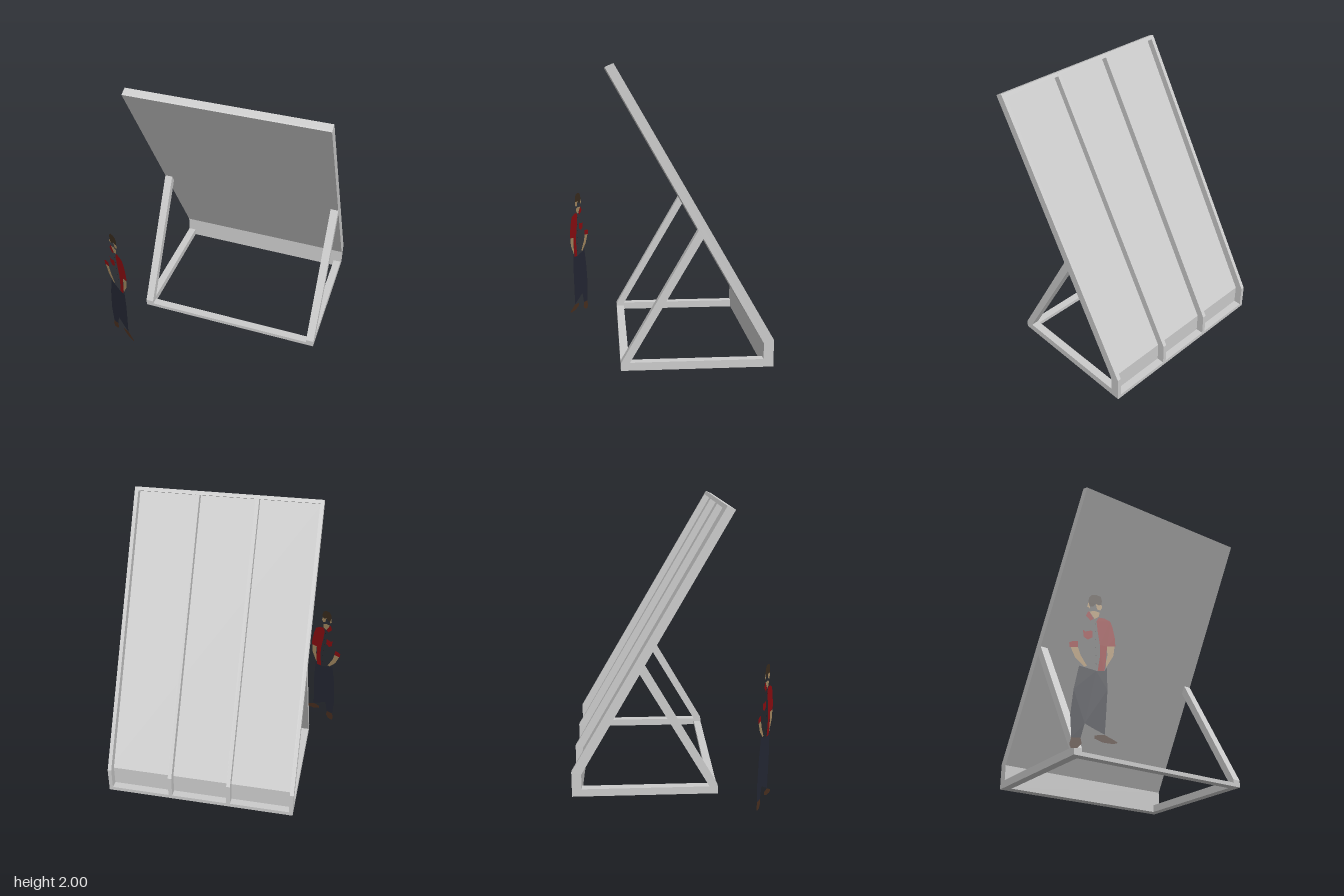
import * as THREE from 'three';

const X0 = -0.573, X1 = 0.772;   // outer sides of the frame
const T = 0.027, POST = 0.056;   // thin lumber and square post widths

// Prism with a (z, y) outline running from x = a to x = b
function prism(name, outline, a, b, mat) {
  const shape = new THREE.Shape(outline.map(([z, y]) => new THREE.Vector2(z, y)));
  const geo = new THREE.ExtrudeGeometry(shape, { depth: b - a, bevelEnabled: false });
  geo.rotateY(-Math.PI / 2).translate(b, 0, 0);
  const mesh = new THREE.Mesh(geo, mat);
  mesh.name = name;
  return mesh;
}

function createWall(mat) {
  const wall = new THREE.Group();
  wall.name = 'leaningWall';

  // Thin sheet facing the front, kinked into a short upright foot
  wall.add(prism('sheet', [
    [0.393, 1.976], [0.383, 1.982], [-0.627, 0.219], [-0.627, 0.055],
    [-0.615, 0.055], [-0.615, 0.215],
  ], X0, X1, mat));

  // Four kinked studs behind the sheet
  const stud = [
    [0.383, 1.982], [0.34, 2.0], [-0.681, 0.236], [-0.681, 0.055],
    [-0.627, 0.055], [-0.627, 0.219],
  ];
  for (const x of [X0, -0.125, 0.299, X1 - T]) wall.add(prism('stud', stud, x, x + T, mat));

  // Plates closing the top and bottom
  wall.add(prism('topPlate', [
    [0.383, 1.982], [0.34, 2.0], [0.3266, 1.9766], [0.369, 1.9586],
  ], X0, X1, mat));
  wall.add(prism('bottomPlate', [
    [-0.681, 0.055], [-0.627, 0.055], [-0.627, 0.082], [-0.681, 0.082],
  ], X0, X1, mat));
  return wall;
}

function createStand(mat) {
  const stand = new THREE.Group();
  stand.name = 'stand';
  for (const x of [X0, X1 - POST]) {
    // Sloping brace up to the sheet
    stand.add(prism('brace', [
      [0.313, 0.055], [0.313, 0.104], [-0.185, 0.973], [-0.217, 0.92],
      [0.254, 0.108], [0.254, 0.055],
    ], x, x + POST, mat));
    // Ground rail back to the wall foot
    stand.add(prism('sideRail', [
      [0.254, 0.055], [0.254, 0.108], [-0.615, 0.108], [-0.615, 0.055],
    ], x, x + POST, mat));
  }
  stand.add(prism('frontRail', [
    [0.313, 0.055], [0.313, 0.082], [0.256, 0.082], [0.256, 0.055],
  ], X0 + POST, X1 - POST, mat));
  return stand;
}

// Flat cut-out figure; outlines are in hundredths, x from its centre line, y from the ground
function createFigure() {
  const figure = new THREE.Group();
  figure.name = 'scaleFigure';
  const paint = (color) => new THREE.MeshStandardMaterial({ color, side: THREE.DoubleSide });
  const red = paint(0x8c0d10), skin = paint(0xa58a62), navy = paint(0x252835);
  const hair = paint(0x3a2c1e), leather = paint(0x4a3020), black = paint(0x151515);

  const patch = (name, mat, points) => {
    const shape = new THREE.Shape(points.map(([x, y]) => new THREE.Vector2(x / 100, y / 100)));
    const mesh = new THREE.Mesh(new THREE.ShapeGeometry(shape), mat);
    mesh.name = name;
    figure.add(mesh);
  };

  patch('hair', hair, [[-2, 91], [-3, 94], [-2.7, 97], [-1, 99], [2, 99.2], [4.5, 98], [5.4, 95],
    [5, 92.5], [3.5, 92], [1.5, 93], [0, 91]]);
  patch('ear', skin, [[-3, 94], [-2, 91], [-2, 89.5], [-3.7, 91]]);
  patch('face', skin, [[1.5, 93], [3.5, 92], [5, 92.5], [5.6, 90.5], [4.5, 88.5], [2.5, 89]]);
  patch('neck', skin, [[-2.3, 87.5], [1, 88], [4, 87], [3.5, 84], [1, 82.5]]);
  patch('collar', red, [[-3, 87.5], [-2.3, 87.5], [0.5, 82.5], [-1.5, 81.3], [-4.4, 84.5]]);

  // Open shirt: one side with its sleeve, a pocket and the far cuff
  patch('shirtSide', red, [[3.5, 83.5], [7, 83], [10.5, 81], [12, 77], [13.4, 70], [13.8, 64.5],
    [8.8, 64], [8, 52], [7.3, 48], [3.4, 48], [4.7, 58], [4.5, 65], [3, 74], [2.2, 81]]);
  patch('pocket', red, [[-6, 75], [-4.5, 73.7], [-1, 74.5], [0, 74], [0, 70], [-2.8, 68.3], [-5.3, 70]]);
  patch('cuff', red, [[-14, 66], [-12, 67], [-8.8, 67], [-8.6, 63.3], [-13.6, 62.8]]);
  for (let i = 0; i < 6; i++) {
    const button = new THREE.Mesh(new THREE.CircleGeometry(0.003, 8), black);
    button.name = 'button';
    button.position.set(0.014 + 0.002 * i, 0.79 - 0.053 * i, 0);
    figure.add(button);
  }

  patch('forearm', skin, [[-13, 62.8], [-8.7, 63.3], [-7, 58], [-3, 51], [-4.5, 50.5], [-10, 56]]);
  patch('forearm', skin, [[8.8, 64], [13.3, 64.3], [12.6, 58], [8.2, 50], [8.2, 54], [9, 58]]);

  patch('trousers', navy, [[-7.7, 51], [-4, 50], [2.5, 48], [7.5, 48], [8.7, 50.5], [9.3, 36],
    [8.7, 22], [8, 8.5], [2.4, 11.5], [-3.6, 15], [-5.6, 6.5], [-11, 6.5], [-12, 20], [-10.5, 36]]);
  patch('shoe', leather, [[-11, 6.5], [-5.8, 6.5], [-5, 3], [-7.3, 0.3], [-11, 0], [-12, 2.5]]);
  patch('shoe', leather, [[2.2, 8], [8, 8.3], [14, 5], [15.4, 3.8], [13, 3], [7, 3.8], [2.2, 6]]);

  figure.position.set(-0.642, 0, 0.61);
  figure.rotation.y = -Math.PI / 6;
  return figure;
}

export function createModel() {
  const model = new THREE.Group();
  model.name = 'leaningWallWithFigure';
  const grey = new THREE.MeshStandardMaterial({ color: 0xcccccc });
  model.add(createWall(grey), createStand(grey), createFigure());
  return model;
}
